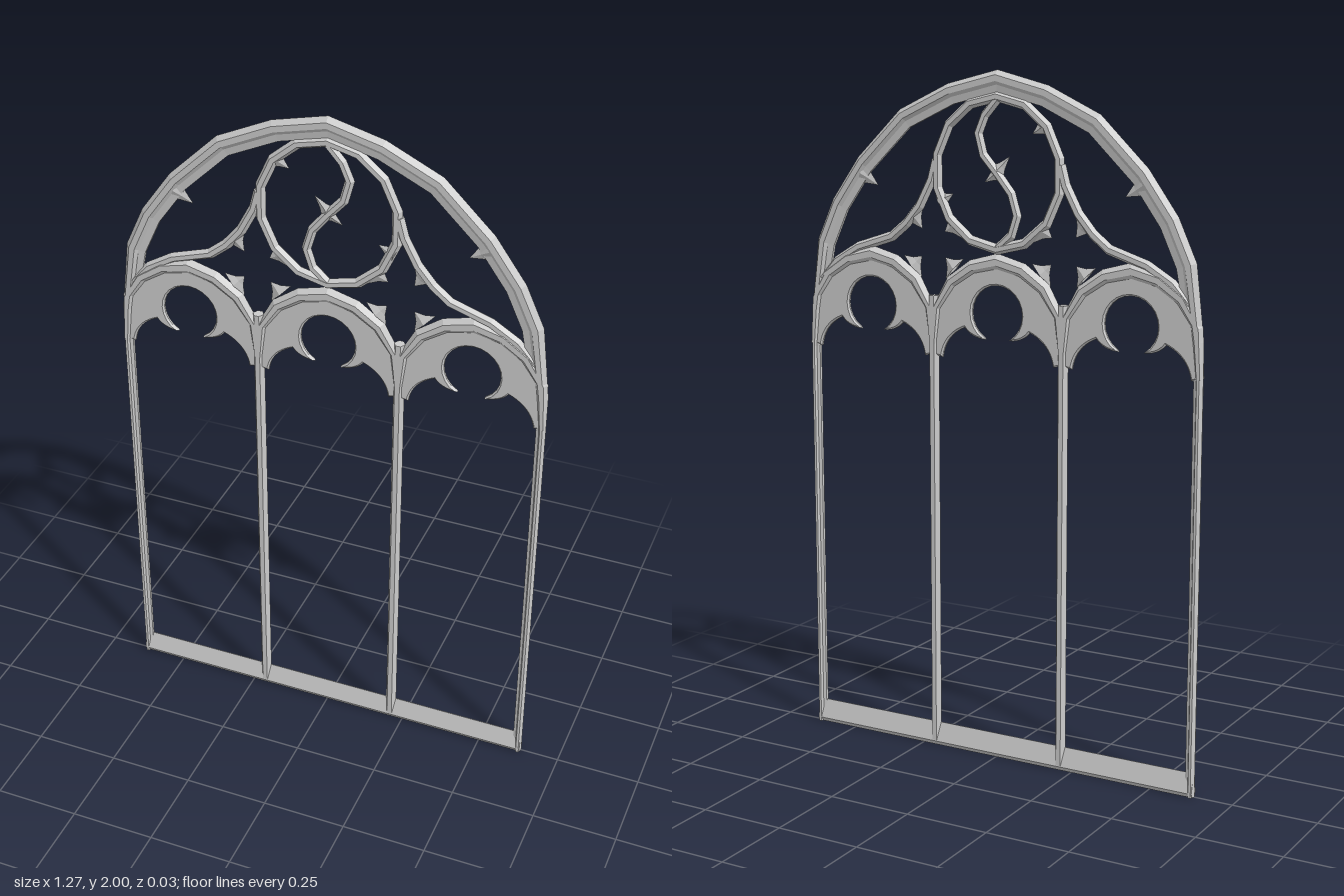
import * as THREE from 'three';

const D = 0.015; // half depth of the stonework
const mat = new THREE.MeshStandardMaterial({ color: 0xcccccc, flatShading: true, side: THREE.DoubleSide });
const V = (x, y) => new THREE.Vector2(x, y);
const vecs = (list) => list.map(([x, y]) => V(x, y));

// Cross-sections: offset across the path (in widths) and depth (in half depths)
const RIB = [[-0.5, 0], [-0.22, -1], [0.22, -1], [0.5, 0], [0.22, 1], [-0.22, 1]];
const MOULDING = [[0, 0], [0.22, -1], [0.5, -1], [0.66, -0.5], [1, -0.3], [1, 0.3], [0.66, 0.5], [0.5, 1], [0.22, 1]];

// Sweeps a cross-section along a flat path with mitred corners
function sweep(name, pts, width, { profile = RIB, closed = false, depth = D } = {}) {
  const n = pts.length, m = profile.length, pos = [], idx = [];
  pts.forEach((p, i) => {
    const prev = closed || i > 0 ? pts[(i + n - 1) % n] : null;
    const next = closed || i < n - 1 ? pts[(i + 1) % n] : null;
    const a = prev ? p.clone().sub(prev).normalize() : next.clone().sub(p).normalize();
    const b = next ? next.clone().sub(p).normalize() : a;
    const t = a.clone().add(b).normalize();
    const w = (Array.isArray(width) ? width[i] : width) / Math.max(0.6, t.dot(a));
    for (const [s, z] of profile) pos.push(p.x + t.y * s * w, p.y - t.x * s * w, z * depth);
  });
  for (let i = 0; i < (closed ? n : n - 1); i++) {
    for (let j = 0; j < m; j++) {
      const a = i * m + j, b = i * m + (j + 1) % m;
      const c = ((i + 1) % n) * m + j, d = ((i + 1) % n) * m + (j + 1) % m;
      idx.push(a, c, b, b, c, d);
    }
  }
  if (!closed) {
    const e = (n - 1) * m;
    for (let j = 1; j < m - 1; j++) idx.push(0, j, j + 1, e, e + j + 1, e + j);
  }
  const geo = new THREE.BufferGeometry();
  geo.setAttribute('position', new THREE.Float32BufferAttribute(pos, 3));
  geo.setIndex(idx);
  return named(name, geo);
}

function named(name, geo) {
  const flat = geo.index ? geo.toNonIndexed() : geo;
  flat.computeVertexNormals();
  const mesh = new THREE.Mesh(flat, mat);
  mesh.name = name;
  return mesh;
}

// Small concave-sided spike pointing from base to tip
function cusp(name, bx, by, tx, ty, r = 0.035) {
  const dir = V(tx - bx, ty - by), h = dir.length();
  const geo = new THREE.LatheGeometry([V(r, 0), V(r * 0.42, h * 0.45), V(0.001, h)], 4);
  geo.scale(1, 1, 0.012 / r);
  const mesh = named(name, geo);
  mesh.position.set(bx, by, 0);
  mesh.rotation.z = Math.atan2(dir.y, dir.x) - Math.PI / 2;
  return mesh;
}

// Mirrors the left half of a path that ends on the centre line
const mirrored = (half) => vecs([...half, ...half.slice(0, -1).reverse().map(([x, y]) => [-x, y])]);
const mirrorWidths = (w) => [...w, ...w.slice(0, -1).reverse()];

// Pierced plate with a round top foil and two lower half foils
function foilPlate() {
  const s = new THREE.Shape();
  s.moveTo(-0.205, 1.19);
  for (const p of mirrored([[-0.2, 1.32], [-0.15, 1.4], [-0.085, 1.44], [0, 1.455]])) s.lineTo(p.x, p.y);
  s.lineTo(0.205, 1.19);
  s.lineTo(0.182, 1.185);
  s.quadraticCurveTo(0.172, 1.25, 0.105, 1.277);
  s.quadraticCurveTo(0.085, 1.25, 0.04, 1.246);
  s.absarc(0, 1.32, 0.083, -Math.PI / 3, Math.PI * 4 / 3, false);
  s.quadraticCurveTo(-0.085, 1.25, -0.105, 1.277);
  s.quadraticCurveTo(-0.172, 1.25, -0.182, 1.185);
  s.closePath();
  const geo = new THREE.ExtrudeGeometry(s, {
    depth: 0.006, curveSegments: 10, bevelEnabled: true, bevelSegments: 1,
    bevelThickness: 0.005, bevelSize: 0.005, bevelOffset: -0.003,
  });
  geo.translate(0, 0, -0.003);
  return named('foilPlate', geo);
}

export function createModel() {
  const group = new THREE.Group();
  const add = (...parts) => group.add(...parts);

  // Outer frame: jambs and arch in one sweep
  const frameHalf = [[-0.635, 0], [-0.635, 1.18], [-0.635, 1.29], [-0.61, 1.5], [-0.555, 1.62],
    [-0.465, 1.745], [-0.32, 1.885], [-0.16, 1.96], [0, 2]];
  add(sweep('outerFrame', mirrored(frameHalf),
    mirrorWidths([0.027, 0.027, 0.045, 0.06, 0.06, 0.06, 0.06, 0.06, 0.06]), { profile: MOULDING }));

  // Sill, sloping down to both faces
  const sill = new THREE.Shape(vecs([[-0.009, 0], [0.009, 0], [D, 0.012], [0.001, 0.07], [-0.001, 0.07], [-D, 0.012]]));
  const sillGeo = new THREE.ExtrudeGeometry(sill, { depth: 1.264, bevelEnabled: false });
  sillGeo.translate(0, 0, -0.632).rotateY(Math.PI / 2);
  add(named('sill', sillGeo));

  // Mullions
  for (const x of [-0.21, 0.21]) add(sweep('mullion', vecs([[x, 0.015], [x, 1.36]]), 0.033));

  // Three lights, each with an arch moulding and a pierced plate
  const archHalf = [[-0.215, 1.19], [-0.212, 1.33], [-0.165, 1.415], [-0.09, 1.468], [0, 1.492]];
  for (const x of [-0.42, 0, 0.42]) {
    const light = new THREE.Group();
    light.name = 'archedLight';
    light.add(sweep('lightArch', mirrored(archHalf), mirrorWidths([0.018, 0.04, 0.055, 0.06, 0.065]), { profile: MOULDING }));
    light.add(foilPlate());
    light.position.x = x;
    add(light);
  }

  // Ring with an S-shaped divider
  const ring = [];
  for (let i = 0; i < 14; i++) {
    const a = Math.PI / 2 + (i / 14) * Math.PI * 2;
    ring.push(V(0.2 * Math.cos(a), 1.715 + 0.212 * Math.sin(a)));
  }
  add(sweep('ring', ring, 0.03, { closed: true, depth: 0.013 }));
  add(sweep('ringDivider', vecs([[0, 1.92], [0.04, 1.875], [0.061, 1.825], [0.045, 1.765], [0, 1.715],
    [-0.045, 1.66], [-0.063, 1.6], [-0.045, 1.545], [0, 1.505]]), 0.027, { depth: 0.012 }));
  add(cusp('dividerCusp', 0.005, 1.715, -0.038, 1.762, 0.03));
  add(cusp('dividerCusp', -0.005, 1.72, 0.04, 1.69, 0.03));
  add(cusp('ringCusp', -0.152, 1.852, -0.112, 1.828));
  add(cusp('ringCusp', 0.19, 1.63, 0.145, 1.652));

  // Side ribs, cusped four-point openings and frame cusps
  for (const s of [-1, 1]) {
    const rib = [[0.2, 1.745], [0.215, 1.69], [0.255, 1.615], [0.3, 1.562], [0.35, 1.522], [0.465, 1.485], [0.54, 1.44], [0.59, 1.385]];
    add(sweep('sideRib', vecs(rib.map(([x, y]) => [s * x, y])), 0.03, { depth: 0.013 }));
    const cusps = [[0.278, 1.59, 0.248, 1.55], [0.138, 1.565, 0.172, 1.545],
      [0.28, 1.44, 0.25, 1.47], [0.14, 1.44, 0.17, 1.47]];
    for (const [bx, by, tx, ty] of cusps) add(cusp('openingCusp', s * bx, by, s * tx, ty, 0.042));
    add(cusp('frameCusp', s * 0.452, 1.7, s * 0.398, 1.668, 0.04));
  }
  return group;
}
